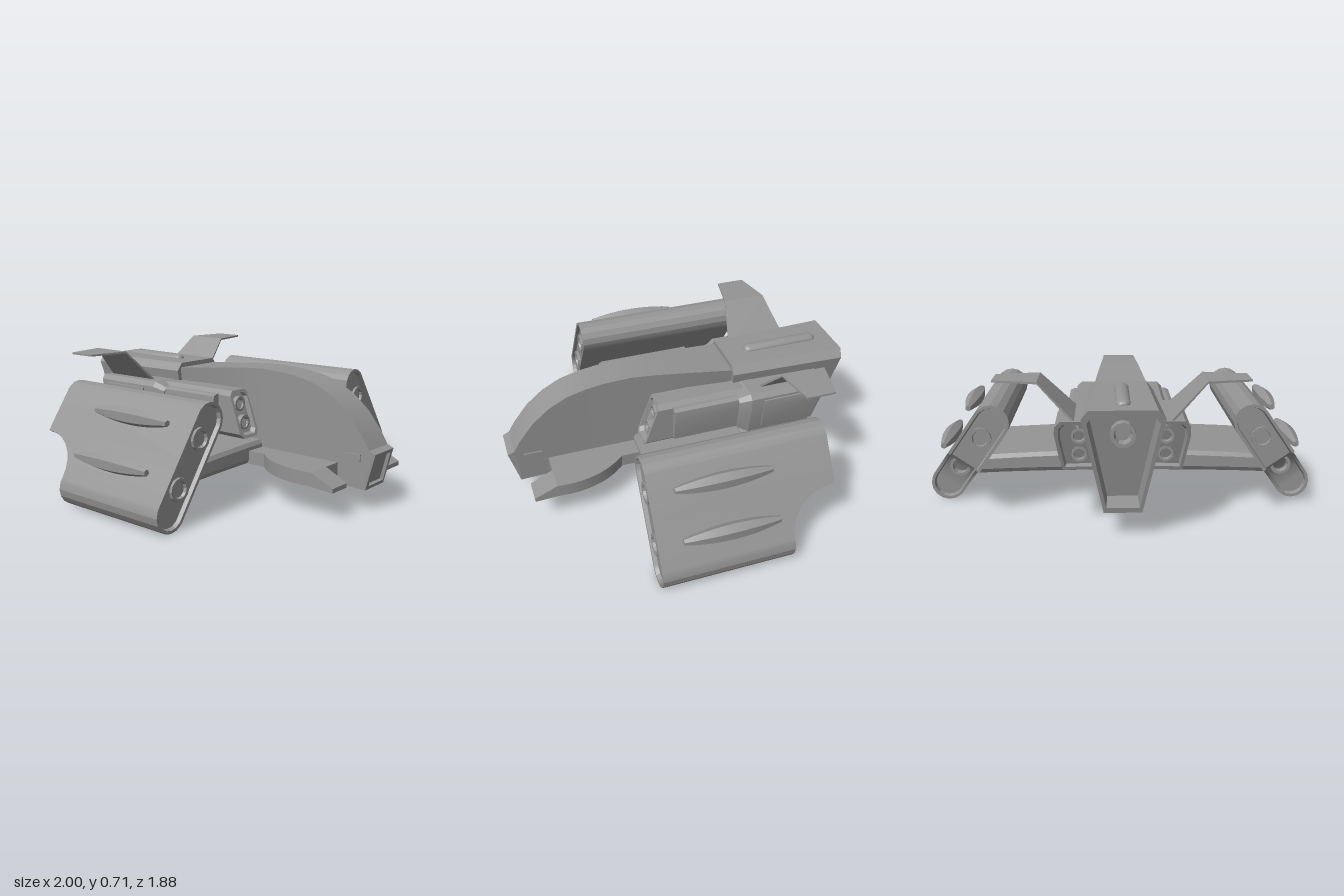
import * as THREE from 'three';
import { toCreasedNormals } from 'three/addons/utils/BufferGeometryUtils.js';

const hull = new THREE.MeshStandardMaterial({ color: 0x949494, side: THREE.DoubleSide });

// Skin a list of equal-length rings (counter-clockwise seen from the first end) and cap both ends
function loft(rings) {
  const n = rings[0].length, index = [];
  for (let r = 0; r < rings.length - 1; r++) {
    for (let i = 0; i < n; i++) {
      const a = r * n + i, b = r * n + (i + 1) % n;
      index.push(a, a + n, b + n, a, b + n, b);
    }
  }
  const last = (rings.length - 1) * n;
  for (let i = 0; i < n / 2 - 1; i++) {
    const j = n - 1 - i;
    index.push(i, i + 1, j - 1, i, j - 1, j);
    index.push(last + i, last + j - 1, last + i + 1, last + i, last + j, last + j - 1);
  }
  const g = new THREE.BufferGeometry();
  g.setAttribute('position', new THREE.Float32BufferAttribute(rings.flat(2), 3));
  g.setIndex(index);
  return g;
}

function mirrored(geo) {
  const g = geo.index ? geo.toNonIndexed() : geo.clone();
  const p = g.attributes.position, v = [0, 1, 2].map(() => new THREE.Vector3());
  for (let t = 0; t < p.count; t += 3) {
    v.forEach((q, k) => q.fromBufferAttribute(p, t + k));
    [0, 2, 1].forEach((k, to) => p.setXYZ(t + to, -v[k].x, v[k].y, v[k].z));
  }
  return g;
}

function add(parent, name, geo) {
  const m = new THREE.Mesh(toCreasedNormals(geo, 0.36), hull);
  m.name = name;
  parent.add(m);
}
function pair(parent, name, geo) {
  add(parent, name + 'Left', geo);
  add(parent, name + 'Right', mirrored(geo));
}

// Rectangle outline with corners cut by cx across and cy up
const chamferRect = (x0, y0, w, h, cx, cy = cx) => [
  [-w + cx, -h], [w - cx, -h], [w, -h + cy], [w, h - cy], [w - cx, h], [-w + cx, h], [-w, h - cy], [-w, -h + cy],
].map(([x, y]) => [x0 + x, y0 + y]);

// Shrink an outline toward its middle
function inset(pts, d) {
  const xs = pts.map(p => p[0]), ys = pts.map(p => p[1]);
  const x0 = Math.min(...xs), x1 = Math.max(...xs), y0 = Math.min(...ys), y1 = Math.max(...ys);
  const cx = (x0 + x1) / 2, cy = (y0 + y1) / 2;
  return pts.map(([x, y]) => [cx + (x - cx) * (1 - 2 * d / (x1 - x0)), cy + (y - cy) * (1 - 2 * d / (y1 - y0))]);
}
const atZ = (pts, z) => pts.map(([x, y]) => [x, y, typeof z === 'function' ? z(y) : z]);

// Hollow round nozzle based at (x, y, z), facing dir (+1 front, -1 back)
function nozzle(x, y, z, r, h, dir = 1) {
  const prof = [[r, 0], [r, h], [r * 0.72, h], [r * 0.6, h * 0.35], [0.001, h * 0.35]];
  const g = new THREE.LatheGeometry(prof.map(p => new THREE.Vector2(...p)), 12);
  return g.rotateX(dir * Math.PI / 2).translate(x, y, z);
}

function buildFuselage(root) {
  const keel = z => 0.11 + 0.042 * (0.89 - z);
  const section = (z, y, w, zb = z, yb = keel(zb), wb = 0.09) =>
    [[-wb, yb, zb], [wb, yb, zb], [w, y, z], [-w, y, z]];
  const top = [[0.905, 0.312], [0.87, 0.37], [0.79, 0.472], [0.7, 0.547], [0.6, 0.6], [0.5, 0.627],
    [0.4, 0.642], [0.25, 0.65], [0.12, 0.645], [0, 0.635], [-0.32, 0.605]];
  add(root, 'fuselage', loft([
    section(0.918, 0.275, 0.065, 0.882, 0.135, 0.065),
    section(0.935, 0.28, 0.07, 0.898, 0.13, 0.07),
    section(0.94, 0.298, 0.088, 0.89, 0.11, 0.088),
    ...top.map(([z, y]) => section(z, y, 0.09 + 0.05 * Math.max(0, (0.3 - z) / 0.6), Math.min(z, 0.885))),
  ]));
  pair(root, 'noseSensor', new THREE.BoxGeometry(0.02, 0.035, 0.1).translate(0.088, 0.268, 0.81));

  // Hollow tail, wide on top and narrow at the keel
  const outline = (w, yb) => [[-0.09, yb], [0.09, yb], [w, 0.59], [w - 0.035, 0.632], [0.035 - w, 0.632], [-w, 0.59]];
  const rear = d => y => -0.85 - 0.09 * (y - 0.125) / 0.505 + d;
  const back = outline(0.19, 0.12);
  add(root, 'tail', loft([
    atZ(outline(0.165, 0.16), -0.3), atZ(back, rear(0)),
    atZ(inset(back, 0.025), rear(0)), atZ(inset(back, 0.035), rear(0.14)),
  ]));
  add(root, 'tailNozzle', nozzle(0, 0.49, -0.77, 0.06, 0.07, -1));
  add(root, 'tailRidge', new THREE.CapsuleGeometry(0.035, 0.36, 4, 20).rotateX(Math.PI / 2)
    .scale(1, 0.75, 1).translate(0, 0.63, -0.635));
}

function buildWing(root) {
  const rings = [0.79, 0.6, 0.4, 0.2, 0, -0.2, -0.4, -0.6, -0.79].map(x =>
    chamferRect(0.04, 0.212 - 0.022 * (x / 0.79) ** 2, 0.29, 0.056 - 0.01 * Math.abs(x), 0.012, 0.022)
      .map(([p, y]) => [x, y, -p]));
  add(root, 'wing', loft(rings));
}

// Curved side plates ending in wedge-shaped prongs
function buildProngs(root) {
  const s = new THREE.Shape();
  s.moveTo(0.05, 0.2);
  s.lineTo(0.2, 0.2);
  s.lineTo(0.2, 0.35);
  s.bezierCurveTo(0.28, 0.43, 0.33, 0.54, 0.33, 0.67);
  s.lineTo(0.327, 0.73);
  s.lineTo(0.05, 0.73);
  const g = new THREE.ExtrudeGeometry(s, { depth: 0.07, bevelEnabled: false, curveSegments: 10 });
  pair(root, 'prongPlate', g.rotateX(Math.PI / 2).translate(0, 0.225, 0));
  const tip = (x, y0, y1, z) => [[0.195, y0, z], [x, y0, z], [x, y1, z], [0.195, y1, z]];
  pair(root, 'prongTip', loft([tip(0.32, 0.143, 0.165, 0.85), tip(0.327, 0.155, 0.225, 0.73)]));
}

function buildHousings(root) {
  // Front housing with a sloping twin-barrel face
  const slope = d => y => 0.23 - 0.35 * (y - 0.29) - d;
  const box = chamferRect(0.165, 0.412, 0.075, 0.123, 0.025);
  pair(root, 'gunHousing', loft([
    atZ(inset(box, 0.022), slope(0.025)), atZ(inset(box, 0.016), slope(0)),
    atZ(box, slope(0)), atZ(box, -0.34),
  ]));
  for (const y of [0.365, 0.46]) {
    pair(root, 'gunBarrel', nozzle(0.166, y, slope(0.05)(y), 0.04, 0.04));
    pair(root, 'thruster', nozzle(0.205, y, -0.65 - 0.27 * (y - 0.29), 0.038, 0.045, -1));
  }
  const plate = [[0.225, 0.32], [0.262, 0.32], [0.28, 0.46], [0.275, 0.505], [0.255, 0.515], [0.225, 0.515]];
  pair(root, 'sidePlate', loft([atZ(plate, 0.07), atZ(plate, -0.29)]));

  // Rear housing with a slanted, recessed exhaust
  const rear = d => y => -0.71 - 0.27 * (y - 0.285) + d;
  const shell = [[0.1, 0.29], [0.285, 0.285], [0.318, 0.46], [0.314, 0.515], [0.29, 0.54], [0.1, 0.54]];
  pair(root, 'rearHousing', loft([
    atZ(inset(shell, 0.03), -0.29), atZ(shell, -0.35), atZ(shell, rear(0)),
    atZ(inset(shell, 0.016), rear(0)), atZ(inset(shell, 0.024), rear(0.03)),
  ]));
  const panel = [[0.28, 0.32], [0.302, 0.32], [0.325, 0.46], [0.321, 0.5], [0.3, 0.505], [0.28, 0.505]];
  pair(root, 'rearPanel', loft([atZ(panel, -0.42), atZ(panel, rear(0.05))]));
}

function buildFins(root) {
  const stations = [[0.615, 0.706, -0.505, -0.66], [0.4, 0.706, -0.465, -0.705], [0.2, 0.505, -0.42, -0.775]];
  pair(root, 'tailFin', loft(stations.map(([x, y, zf, zb], i) => {
    const t = i === 2 ? 0.009 : 0.005;
    return [[x, y - t, zf], [x, y - t, zb], [x, y + t, zb], [x, y + t, zf]];
  })));
}

// Tilted engine pods with a scooped rear corner
function buildPods(root) {
  const L = 0.474, ux = -0.57, uy = 0.823;
  const at = (v, w) => [0.91 + ux * v + uy * w, 0.09 + uy * v - ux * w];
  const backZ = v => v < 0.01 ? -0.32 : v >= 0.23 ? -0.58
    : -0.57 + 0.25 * Math.sqrt(1 - ((v - 0.01) / 0.22) ** 2);
  const straight = [0];
  for (let i = 0; i <= 7; i++) straight.push(0.01 + 0.22 * Math.sin(i / 7 * Math.PI / 2));
  straight.push(0.24, L);

  const stadium = (r, zOf) => {
    const arc = [0, 1, 2, 3].map(i => (i + 0.5) / 4 * Math.PI / 2);
    const half = [
      ...arc.map(a => [-r * Math.cos(a), r * Math.sin(a)]),
      ...straight.map(v => [v, r]),
      ...arc.map(a => [L + r * Math.cos(a), r * Math.sin(a)]).reverse(),
    ];
    return [...half, ...half.map(([v, w]) => [v, -w]).reverse()].map(([v, w]) => [...at(v, w), zOf(v)]);
  };
  pair(root, 'enginePod', loft([
    stadium(0.07, () => 0.35), stadium(0.076, () => 0.37), stadium(0.091, () => 0.37),
    stadium(0.091, backZ), stadium(0.076, backZ), stadium(0.07, v => backZ(v) + 0.025),
  ]));
  for (const v of [0.12, 0.377]) {
    const [x, y] = at(v, 0);
    pair(root, 'podIntake', nozzle(x, y, 0.33, 0.058, 0.035));
    pair(root, 'podExhaust', nozzle(x, y, backZ(v) + 0.06, 0.055, 0.05, -1));
  }

  // Six-sided spindles along the outer face
  const prof = [new THREE.Vector2(0.001, -0.25)];
  for (let i = -5; i <= 5; i++) prof.push(new THREE.Vector2(0.016 + 0.028 * (1 - (i / 5) ** 2), i * 0.05));
  prof.push(new THREE.Vector2(0.001, 0.25));
  for (const [x, y] of [[0.803, 0.478], [0.942, 0.272]]) {
    pair(root, 'spindle', new THREE.LatheGeometry(prof, 6).rotateX(Math.PI / 2).translate(x, y, 0));
  }
}

export function createModel() {
  const root = new THREE.Group();
  root.name = 'spacecraft';
  [buildFuselage, buildWing, buildProngs, buildHousings, buildFins, buildPods].forEach(build => build(root));
  return root;
}
